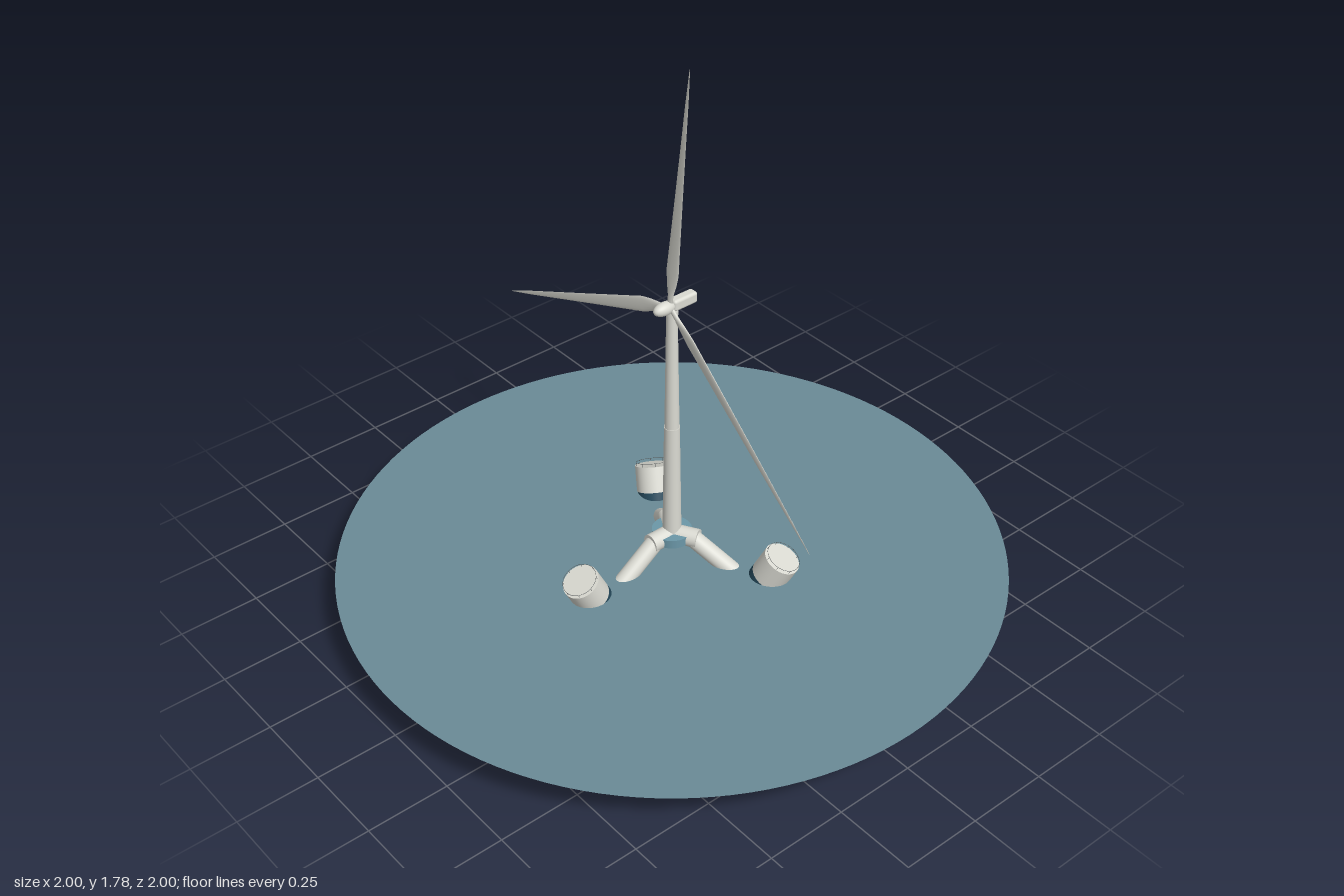
import * as THREE from 'three';
import { RoundedBoxGeometry } from 'three/addons/geometries/RoundedBoxGeometry.js';

const mat = (name, color, side = THREE.FrontSide) => {
  const m = new THREE.MeshStandardMaterial({ color, side });
  m.name = name;
  return m;
};

export function createModel() {
  const white = mat('offWhite', 0xdadad2);
  const navy = mat('navy', 0x24485a);
  const teal = mat('teal', 0x6b97a8);
  const water = mat('water', 0x6a8b96, THREE.DoubleSide);
  const grey = mat('darkGrey', 0x55595a);

  const model = new THREE.Group();
  model.name = 'floatingWindTurbine';

  const add = (parent, name, geo, material, x = 0, y = 0, z = 0) => {
    const mesh = new THREE.Mesh(geo, material);
    mesh.name = name;
    mesh.position.set(x, y, z);
    parent.add(mesh);
    return mesh;
  };
  const cyl = (rTop, rBottom, h, n = 32) => new THREE.CylinderGeometry(rTop, rBottom, h, n);
  // Cylinder running between two points
  const rod = (parent, name, a, b, r, material) => {
    const d = b.clone().sub(a);
    const mesh = add(parent, name, cyl(r, r, d.length()), material);
    mesh.position.copy(a).addScaledVector(d, 0.5);
    mesh.quaternion.setFromUnitVectors(new THREE.Vector3(0, 1, 0), d.normalize());
    return mesh;
  };
  const V = (x, y, z = 0) => new THREE.Vector3(x, y, z);

  // Sea surface
  const sea = add(model, 'seaSurface', new THREE.CircleGeometry(1, 128), water, 0, 0.128, 0);
  sea.rotation.x = -Math.PI / 2;

  // Tower in two tapered sections with flange rings
  add(model, 'lowerTower', cyl(0.023, 0.029, 0.42), white, 0, 0.38, 0);
  add(model, 'upperTower', cyl(0.016, 0.022, 0.4), white, 0, 0.79, 0);
  add(model, 'towerFlange', cyl(0.0235, 0.0235, 0.004), white, 0, 0.59, 0);
  add(model, 'yawBearing', cyl(0.018, 0.018, 0.012), white, 0, 0.982, 0);

  // Central platform joining the arms
  add(model, 'hubPlatform', cyl(0.06, 0.06, 0.028, 48), teal, 0, 0.202, 0);

  // Three arms, each with a tilted float
  const axisLength = 0.192, radius = 0.056, navyShare = 0.58;
  for (let i = 0; i < 3; i++) {
    const arm = new THREE.Group();
    arm.name = 'floatArm';
    arm.rotation.y = (i * 2 * Math.PI) / 3;
    model.add(arm);
    rod(arm, 'armSocket', V(-0.01, 0.2), V(-0.083, 0.2), 0.029, white);
    rod(arm, 'arm', V(-0.056, 0.205), V(-0.25, 0.067), 0.027, white);

    const float = new THREE.Group();
    float.name = 'float';
    float.position.set(-0.3, 0.112, 0);
    float.rotation.z = THREE.MathUtils.degToRad(27);
    arm.add(float);
    const low = axisLength * navyShare, high = axisLength - low;
    add(float, 'floatHull', cyl(radius, radius, low, 40), navy, 0, (low - axisLength) / 2, 0);
    add(float, 'floatTop', cyl(radius, radius, high, 40), white, 0, (axisLength - high) / 2, 0);

    // Fine railing posts around the deck
    for (let k = 0; k < 8; k++) {
      const a = (k * Math.PI) / 4;
      add(float, 'railPost', cyl(0.0006, 0.0006, 0.01, 6), grey,
        Math.cos(a) * 0.052, axisLength / 2 + 0.005, Math.sin(a) * 0.052);
    }
    const rail = add(float, 'rail', new THREE.TorusGeometry(0.052, 0.0006, 6, 40), grey, 0, axisLength / 2 + 0.01, 0);
    rail.rotation.x = Math.PI / 2;
  }

  // Nacelle and spinner
  add(model, 'nacelle', new RoundedBoxGeometry(0.085, 0.036, 0.032, 4, 0.009), white, 0.04, 1.006, 0);
  const spinner = add(model, 'spinner', new THREE.SphereGeometry(1, 32, 20), white, -0.027, 1.005, 0);
  spinner.scale.set(0.037, 0.02, 0.02);

  // Blade lofted from flattened oval sections: [distance, half chord, half thickness]
  const stations = [[0, 0.008, 0.007], [0.04, 0.009, 0.006], [0.08, 0.018, 0.005], [0.12, 0.023, 0.004],
    [0.2, 0.0205, 0.003], [0.35, 0.016, 0.002], [0.52, 0.011, 0.0013], [0.68, 0.006, 0.0008], [0.78, 0.001, 0.0004]];
  const bladeGeo = new THREE.CylinderGeometry(1, 1, 1, 14, stations.length - 1);
  const p = bladeGeo.attributes.position;
  for (let i = 0; i < p.count; i++) {
    const [r, chord, thick] = stations[Math.round((p.getY(i) + 0.5) * (stations.length - 1))];
    const twist = 0.14 * Math.max(0, 1 - r / 0.5);
    const x = p.getX(i) * thick, z = p.getZ(i) * chord;
    p.setXYZ(i, x * Math.cos(twist) + z * Math.sin(twist), r, z * Math.cos(twist) - x * Math.sin(twist));
  }
  bladeGeo.computeVertexNormals();

  // Rotor with three slightly coned blades
  const rotor = new THREE.Group();
  rotor.name = 'rotor';
  rotor.position.set(-0.008, 1.005, 0);
  model.add(rotor);
  for (let i = 0; i < 3; i++) {
    const pivot = new THREE.Group();
    pivot.name = 'bladePivot';
    pivot.rotation.x = THREE.MathUtils.degToRad(8 + i * 120);
    rotor.add(pivot);
    add(pivot, 'blade', bladeGeo, white).rotation.z = 0.031;
  }
  return model;
}
